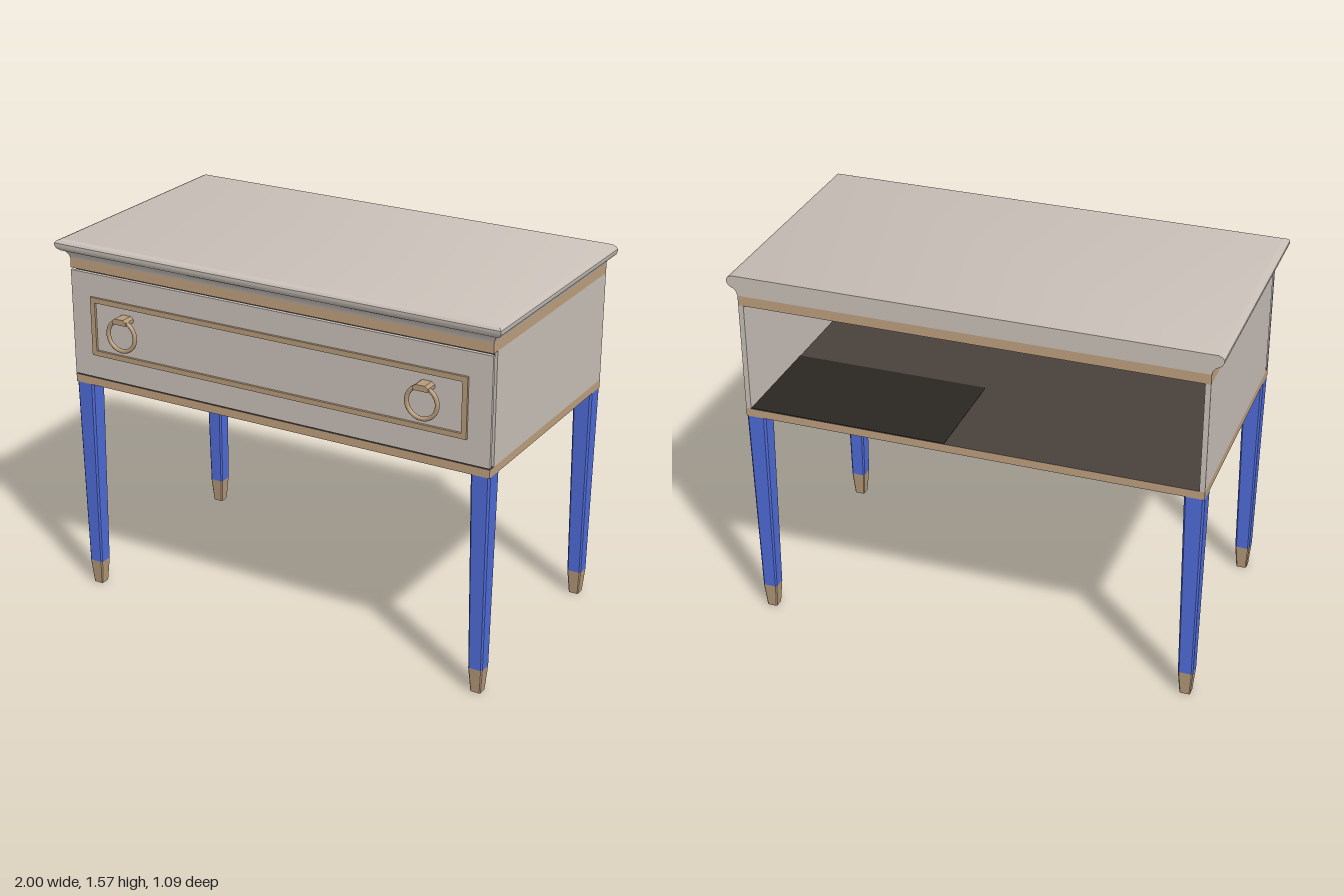
import * as THREE from 'three';
import { toCreasedNormals } from 'three/addons/utils/BufferGeometryUtils.js';

const mat = (name, color) => {
  const m = new THREE.MeshStandardMaterial({ color });
  m.name = name;
  return m;
};

// Solid from stacked rings of [x, y, z], counterclockwise seen from above
function loft(rings, crease = 0.5) {
  const n = rings[0].length, last = (rings.length - 1) * n, index = [];
  for (let j = 0; j < rings.length - 1; j++) {
    for (let i = 0; i < n; i++) {
      const a = j * n + i, b = j * n + (i + 1) % n;
      index.push(a, b, b + n, a, b + n, a + n);
    }
  }
  for (let i = 1; i < n - 1; i++) {
    index.push(0, i + 1, i, last, last + i, last + i + 1);
  }
  const g = new THREE.BufferGeometry();
  g.setAttribute('position', new THREE.Float32BufferAttribute(rings.flat(2), 3));
  g.setIndex(index);
  return toCreasedNormals(g, crease);
}

// Square ring with cut corners, half width h and cut c
function squareRing(h, c, y) {
  const k = h - c;
  return [[h, k], [h, -k], [k, -h], [-k, -h], [-h, -k], [-h, k], [-k, h], [k, h]]
    .map(([x, z]) => [x, y, z]);
}

export function createModel() {
  const group = new THREE.Group();
  group.name = 'sideTable';
  const grey = mat('warmGrey', 0xc9c0b8);
  const tan = mat('tanTrim', 0xbd9f7d);
  const brass = mat('agedBrass', 0xb59a7a);
  const blue = mat('blueLegs', 0x4f6bd6);
  const dark = mat('darkGap', 0x2e2c2b);
  const floorBrown = mat('darkFloor', 0x48413b);
  const floorDeep = mat('deepFloor', 0x2a2622);

  const add = (name, geometry, material, parent = group) => {
    const mesh = new THREE.Mesh(geometry, material);
    mesh.name = name;
    parent.add(mesh);
    return mesh;
  };
  // Box given by its lower and upper corners
  const box = (name, [x0, y0, z0], [x1, y1, z1], material, parent = group) => {
    const m = add(name, new THREE.BoxGeometry(x1 - x0, y1 - y0, z1 - z0), material, parent);
    m.position.set((x0 + x1) / 2, (y0 + y1) / 2, (z0 + z1) / 2);
    return m;
  };

  const W = 0.955, F = 0.488, B = -0.543;

  // Moulded top, flush at the back
  const profile = [[0, 1.487], [0.005, 1.503], [0.014, 1.515], [0.028, 1.521],
    [0.039, 1.53], [0.045, 1.542], [0.045, 1.554], [0.038, 1.563], [0.022, 1.57]];
  add('mouldedTop', loft(profile.map(([o, y]) => [
    [W + o, y, F + o * 0.93], [W + o, y, B], [-W - o, y, B], [-W - o, y, F + o * 0.93],
  ])), grey);

  // Trim bands carrying the ceiling and the floor
  box('upperBand', [-W, 1.445, B], [W, 1.487, F], [tan, tan, grey, grey, tan, tan]);
  box('lowerBand', [-W, 0.945, B], [W, 0.98, F], [tan, tan, floorBrown, grey, tan, tan]);
  box('floorPatch', [0.1, 0.979, B + 0.003], [0.933, 0.982, -0.07], floorDeep);

  // Side panels, open at the back
  for (const s of [-1, 1]) {
    const x = s * (W - 0.011);
    box(s > 0 ? 'leftPanel' : 'rightPanel', [x - 0.011, 0.98, B], [x + 0.011, 1.445, 0.454], grey);
  }

  // Drawer front with a dark recess behind it
  box('drawerGap', [-W + 0.012, 0.98, 0.454], [W - 0.012, 1.435, 0.475], dark);
  box('drawerFront', [-W, 0.984, 0.475], [W, 1.436, F], grey);

  // Raised rectangular frame on the drawer
  const rect = (Shape, w, h) => new Shape(
    [[-w, -h], [w, -h], [w, h], [-w, h]].map(([x, y]) => new THREE.Vector2(x, y)));
  const frame = rect(THREE.Shape, 0.858, 0.126);
  frame.holes.push(rect(THREE.Path, 0.836, 0.104));
  add('drawerFrame', new THREE.ExtrudeGeometry(frame, { depth: 0.011, bevelEnabled: false }), brass)
    .position.set(0, 1.211, F - 0.001);

  // Ring pulls
  for (const s of [-1, 1]) {
    const pull = new THREE.Group();
    pull.name = s > 0 ? 'leftPull' : 'rightPull';
    pull.position.x = s * 0.685;
    group.add(pull);
    add('ring', new THREE.TorusGeometry(0.065, 0.009, 12, 40), brass, pull)
      .position.set(0, 1.21, 0.527);
    const cap = new THREE.Shape([[-0.033, 1.262], [0.033, 1.262], [0.033, 1.276],
      [0.02, 1.286], [-0.02, 1.286], [-0.033, 1.276]].map(([x, y]) => new THREE.Vector2(x, y)));
    add('ringMount', new THREE.ExtrudeGeometry(cap, { depth: 0.057, bevelEnabled: false }), brass, pull)
      .position.z = F - 0.001;
  }

  // Tapered legs with brass feet
  const legShape = loft([squareRing(0.031, 0.006, 0.108), squareRing(0.041, 0.008, 0.945)], 0.2);
  const footShape = loft([squareRing(0.022, 0.004, 0), squareRing(0.031, 0.005, 0.108)], 0.2);
  for (const [end, z] of [['front', 0.446], ['back', -0.502]]) {
    for (const [side, x] of [['Left', 0.914], ['Right', -0.914]]) {
      add(`${end}${side}Leg`, legShape, blue).position.set(x, 0, z);
      add(`${end}${side}Foot`, footShape, brass).position.set(x, 0, z);
    }
  }
  return group;
}
